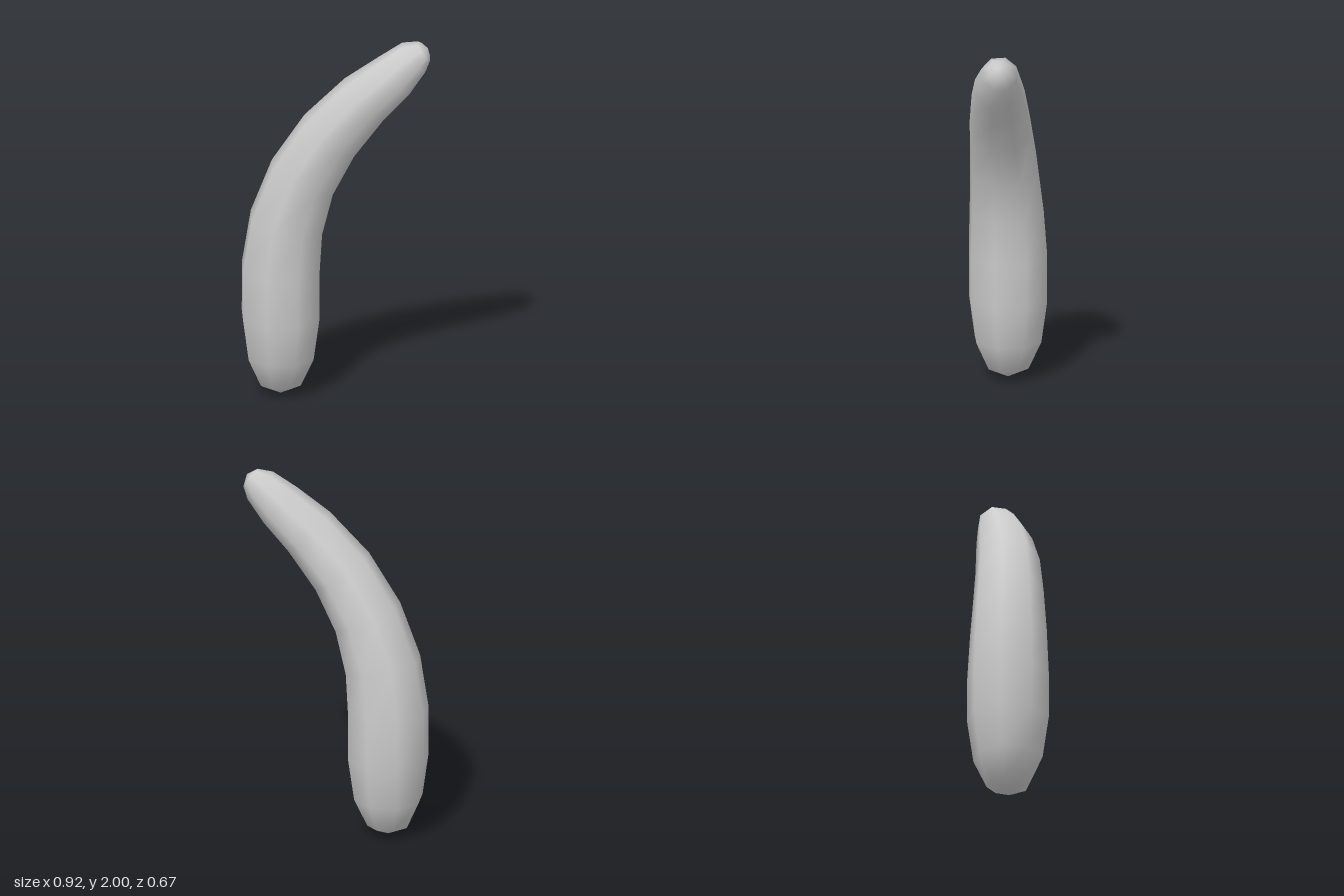
import * as THREE from 'three';

const SIDES = 8;

// Cross-sections along the spine: x, y, z, radius
const SECTIONS = [
  [-0.25, 0.055, -0.11, 0.115],
  [-0.25, 0.21, -0.11, 0.187],
  [-0.25, 0.44, -0.11, 0.22],
  [-0.25, 0.70, -0.11, 0.22],
  [-0.225, 0.965, -0.09, 0.207],
  [-0.155, 1.225, -0.04, 0.19],
  [-0.035, 1.467, 0.04, 0.174],
  [0.125, 1.675, 0.13, 0.153],
  [0.265, 1.812, 0.205, 0.13],
  [0.365, 1.917, 0.247, 0.1],
  [0.411, 1.955, 0.277, 0.06],
];
const BOTTOM_TIP = [-0.25, 0, -0.11];
const TOP_TIP = [0.428, 1.972, 0.288];

function bentTaperGeometry() {
  const centers = SECTIONS.map(([x, y, z]) => new THREE.Vector3(x, y, z));
  const up = new THREE.Vector3(0, 1, 0);
  const last = centers.length - 1;
  const positions = [];
  const index = [];

  // Octagonal rings, each tilted square to the spine
  centers.forEach((center, i) => {
    const tangent = centers[Math.min(i + 1, last)].clone()
      .sub(centers[Math.max(i - 1, 0)]).normalize();
    const tilt = new THREE.Quaternion().setFromUnitVectors(up, tangent);
    for (let j = 0; j < SIDES; j++) {
      const a = (j / SIDES) * Math.PI * 2;
      const p = new THREE.Vector3(Math.sin(a), 0, Math.cos(a))
        .multiplyScalar(SECTIONS[i][3]).applyQuaternion(tilt).add(center);
      positions.push(p.x, p.y, p.z);
    }
  });
  const bottom = positions.length / 3;
  positions.push(...BOTTOM_TIP, ...TOP_TIP);

  // Side walls and pointed end caps
  for (let j = 0; j < SIDES; j++) {
    const k = (j + 1) % SIDES;
    for (let i = 0; i < last; i++) {
      const a = i * SIDES + j, b = i * SIDES + k;
      index.push(a, b, b + SIDES, a, b + SIDES, a + SIDES);
    }
    index.push(bottom, k, j);
    index.push(bottom + 1, last * SIDES + j, last * SIDES + k);
  }

  const geometry = new THREE.BufferGeometry();
  geometry.setAttribute('position', new THREE.Float32BufferAttribute(positions, 3));
  geometry.setIndex(index);
  geometry.computeVertexNormals();
  return geometry;
}

export function createModel() {
  const model = new THREE.Group();
  model.name = 'curvedHorn';
  const body = new THREE.Mesh(
    bentTaperGeometry(),
    new THREE.MeshStandardMaterial({ color: 0xcccccc }),
  );
  body.name = 'hornBody';
  model.add(body);
  return model;
}
